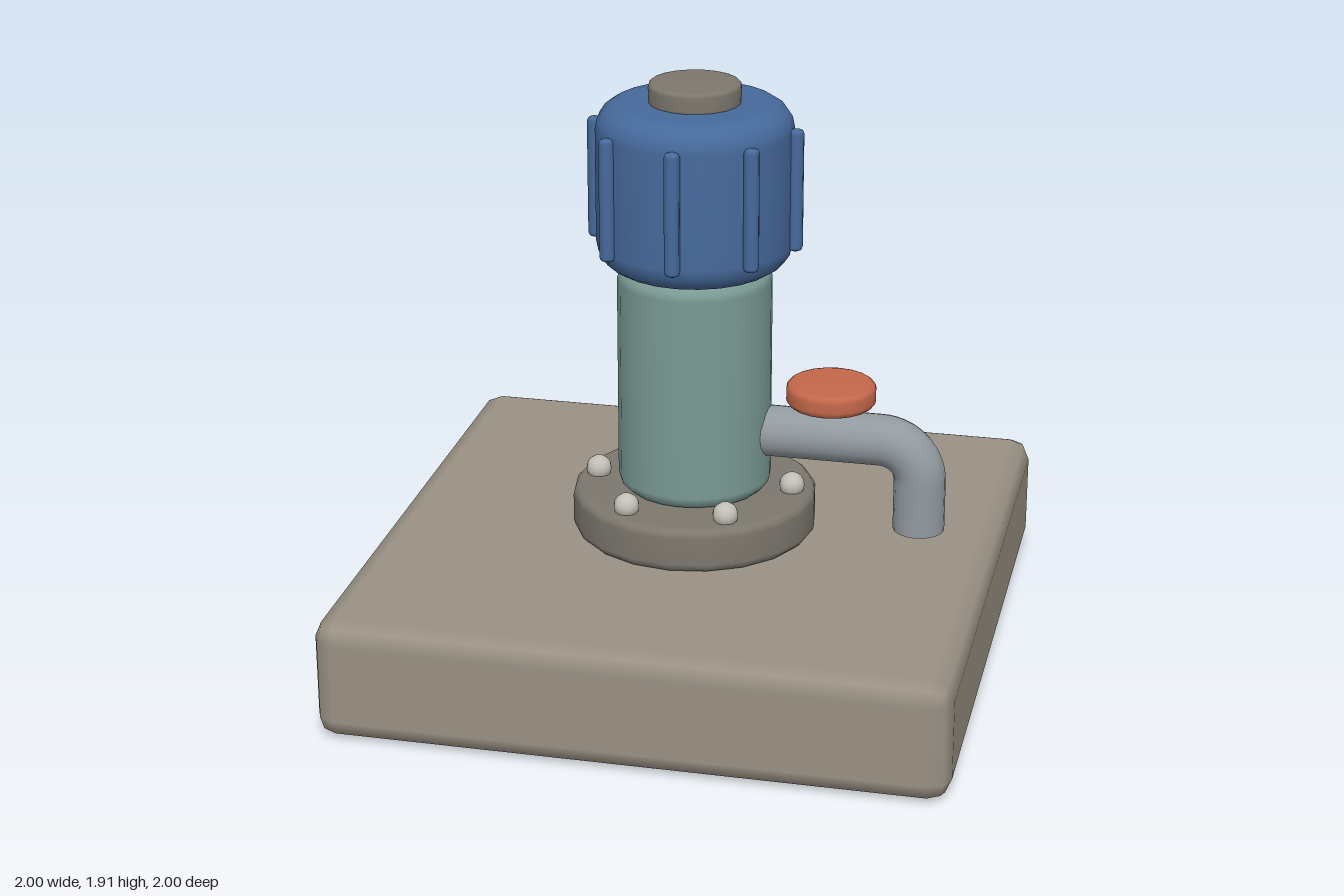
import * as THREE from 'three';
import { RoundedBoxGeometry } from 'three/addons/geometries/RoundedBoxGeometry.js';

const material = (color) => new THREE.MeshStandardMaterial({ color });
const stone = material(0x9a9184);
const iron = material(0x7d786e);
const green = material(0x7a9a94);
const blue = material(0x466a9c);
const steel = material(0x929aa0);
const red = material(0xc4674a);
const boltMetal = material(0xc2c0b6);

// Solid of revolution between y0 and y1 with rounded rims
function roundedCylinder(radius, y0, y1, bevel, sides, steps = 3) {
  const points = [new THREE.Vector2(0, y0)];
  for (const [cy, start] of [[y0 + bevel, -Math.PI / 2], [y1 - bevel, 0]]) {
    for (let i = 0; i <= steps; i++) {
      const a = start + (i / steps) * Math.PI / 2;
      points.push(new THREE.Vector2(radius - bevel + bevel * Math.cos(a), cy + bevel * Math.sin(a)));
    }
  }
  points.push(new THREE.Vector2(0, y1));
  return new THREE.LatheGeometry(points, sides);
}

export function createModel() {
  const model = new THREE.Group();
  model.name = 'standpipe';

  const add = (name, geometry, mat, x = 0, y = 0, z = 0) => {
    const mesh = new THREE.Mesh(geometry, mat);
    mesh.name = name;
    mesh.position.set(x, y, z);
    model.add(mesh);
    return mesh;
  };

  // Plinth and bolted flange
  add('basePlinth', new RoundedBoxGeometry(2, 0.4, 2, 1, 0.07), stone, 0, 0.2, 0);
  add('flange', roundedCylinder(0.4, 0.4, 0.55, 0.03, 20), iron);
  const boltGeometry = new THREE.SphereGeometry(0.042, 12, 8);
  for (let i = 0; i < 6; i++) {
    const a = (i * Math.PI) / 3;
    add('flangeBolt', boltGeometry, boltMetal, 0.325 * Math.cos(a), 0.57, 0.325 * Math.sin(a));
  }

  // Column, ribbed cap and top button
  add('column', roundedCylinder(0.25, 0.55, 1.31, 0.045, 24), green);
  add('cap', roundedCylinder(0.315, 1.31, 1.85, 0.085, 24, 4), blue);
  const ribGeometry = roundedCylinder(0.025, 1.38, 1.78, 0.014, 10, 2);
  for (let i = 0; i < 8; i++) {
    const a = (i * Math.PI) / 4;
    add('capRib', ribGeometry, blue, 0.325 * Math.cos(a), 0, 0.325 * Math.sin(a));
  }
  add('topButton', roundedCylinder(0.148, 1.84, 1.915, 0.015, 20), iron);

  // Spout: straight run, quarter bend, short drop
  const bend = 0.13, endX = 0.745, pipeY = 0.755, mouthY = 0.455, pipeRadius = 0.084;
  const k = bend * 0.5523;
  const path = new THREE.CurvePath();
  const p = (x, y) => new THREE.Vector3(x, y, 0);
  path.add(new THREE.LineCurve3(p(0.2, pipeY), p(endX - bend, pipeY)));
  path.add(new THREE.CubicBezierCurve3(
    p(endX - bend, pipeY), p(endX - bend + k, pipeY),
    p(endX, pipeY - bend + k), p(endX, pipeY - bend)));
  path.add(new THREE.LineCurve3(p(endX, pipeY - bend), p(endX, mouthY)));
  add('spoutPipe', new THREE.TubeGeometry(path, 48, pipeRadius, 18), steel);
  const mouth = add('spoutMouth', new THREE.CircleGeometry(pipeRadius, 18), steel, endX, mouthY, 0);
  mouth.rotation.x = Math.PI / 2;

  // Valve stem and hand wheel
  add('valveStem', new THREE.CylinderGeometry(0.02, 0.02, 0.08, 10), red, 0.45, 0.85, 0);
  add('valveWheel', roundedCylinder(0.146, 0.866, 0.941, 0.022, 20), red, 0.45, 0, 0);

  return model;
}
